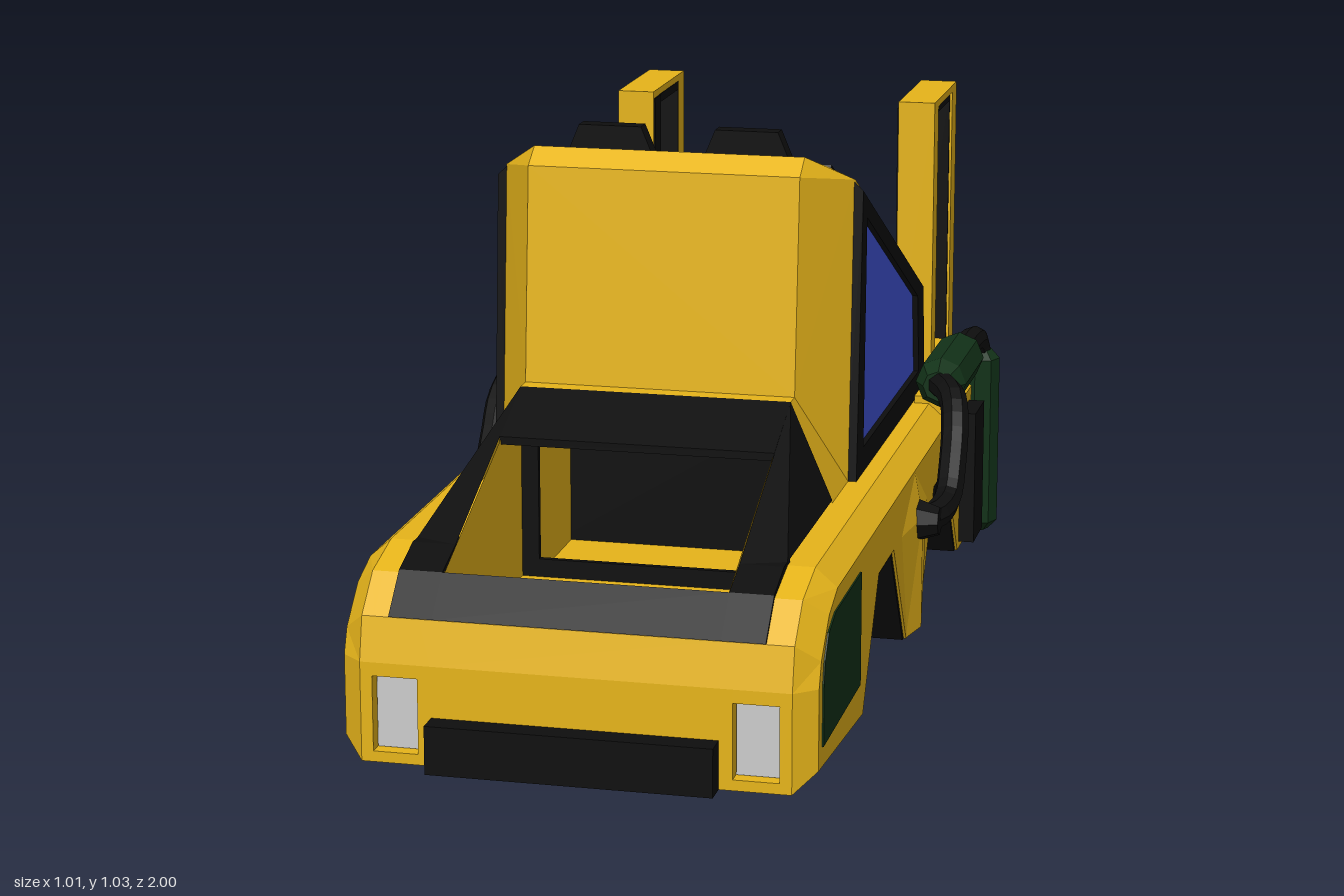
import * as THREE from 'three';

const mat = (color) => new THREE.MeshStandardMaterial({ color, side: THREE.DoubleSide, flatShading: true });

// Extrudes a [z, y] profile from x0 to x1.
function slab(points, x0, x1, hole) {
  const toV = (p) => p.map(([z, y]) => new THREE.Vector2(z, y));
  const shape = new THREE.Shape(toV(points));
  if (hole) shape.holes.push(new THREE.Path(toV(hole)));
  const g = new THREE.ExtrudeGeometry(shape, { depth: x1 - x0, bevelEnabled: false });
  return g.rotateY(-Math.PI / 2).translate(x1, 0, 0);
}

// Box given by its limits on each axis.
function box(x0, x1, y0, y1, z0, z1) {
  return new THREE.BoxGeometry(x1 - x0, y1 - y0, z1 - z0)
    .translate((x0 + x1) / 2, (y0 + y1) / 2, (z0 + z1) / 2);
}

// Flat polygons, each a loop of [x, y, z] corners.
function panels(...polys) {
  const out = [];
  for (const p of polys)
    for (let i = 1; i < p.length - 1; i++) out.push(...p[0], ...p[i], ...p[i + 1]);
  return new THREE.BufferGeometry().setAttribute('position', new THREE.Float32BufferAttribute(out, 3));
}

// Moves every vertex by a rule acting on a Vector3.
function reshape(g, rule) {
  const p = g.attributes.position, v = new THREE.Vector3();
  for (let i = 0; i < p.count; i++) {
    rule(v.fromBufferAttribute(p, i));
    p.setXYZ(i, v.x, v.y, v.z);
  }
  return g;
}

function mirrored(g) {
  const m = g.clone().scale(-1, 1, 1), p = m.attributes.position;
  const a = new THREE.Vector3(), b = new THREE.Vector3();
  for (let i = 0; i < p.count; i += 3) {
    a.fromBufferAttribute(p, i + 1);
    b.fromBufferAttribute(p, i + 2);
    p.setXYZ(i + 1, b.x, b.y, b.z);
    p.setXYZ(i + 2, a.x, a.y, a.z);
  }
  return m;
}

export function createModel() {
  const model = new THREE.Group();
  model.name = 'vehicle';
  const yellow = mat(0xe6b41a), black = mat(0x0e0e0e), green = mat(0x123218);
  const blue = mat(0x4257dc), grey = mat(0xc2c2c2);

  function add(name, g, m) {
    const flat = g.index ? g.toNonIndexed() : g;
    flat.computeVertexNormals();
    const mesh = new THREE.Mesh(flat, m);
    mesh.name = name;
    model.add(mesh);
    return mesh;
  }
  function pair(name, g, m) {
    const flat = g.index ? g.toNonIndexed() : g;
    add(name + 'Left', flat, m);
    add(name + 'Right', mirrored(flat), m);
  }

  // Body: centre with front bay and rear recess, then side slabs with wheel arches
  const nose = [[0.955, 0.2], [0.937, 0.28], [0.87, 0.343]];
  add('bodyCentre', slab([[0.955, 0.015], ...nose, [0.87, 0.19], [0.1, 0.19],
    [0.1, 0.37], [-0.72, 0.37], [-0.72, 0.31], [-0.5, 0.31], [-0.5, 0.04], [-0.72, 0.04], [-0.72, 0.015]], -0.26, 0.26), yellow);
  const top = [...nose, [0.76, 0.37], [-0.72, 0.37]];
  const arches = [[-0.565, -0.41, -0.255, -0.105], [0.05, 0.2, 0.355, 0.505]];
  const notches = arches.flatMap(([a, b, c, d]) => [[a, 0.015], [b, 0.24], [c, 0.24], [d, 0.015]]);
  const lampRecess = [[0.955, 0.035], [0.925, 0.035], [0.925, 0.175], [0.955, 0.175]];
  const outline = [[0.955, 0.015], ...top, [-0.72, 0.015]];
  pair('bodyInnerSide', slab(outline, 0.26, 0.285), yellow);
  pair('bodyLampSide', slab([[0.955, 0.015], ...lampRecess, ...top, [-0.72, 0.015], ...notches], 0.285, 0.368), yellow);
  pair('bodySide', slab([...outline, ...notches], 0.368, 0.39), yellow);
  pair('bodyChamfer', reshape(slab([...outline, ...notches], 0.39, 0.43), (v) => {
    if (v.x < 0.42) return;
    if (v.z > 0.8) v.z -= 0.035;
    if (v.y > 0.25) v.y -= 0.035;
    else if (v.y < 0.05 && v.z > 0.8) v.y += 0.035;
  }), yellow);
  for (const [a, b, c, d] of arches) {
    pair('archLining', slab([[a, 0.016], [b, 0.24], [c, 0.24], [d, 0.016], [d - 0.012, 0.016],
      [c - 0.006, 0.23], [b + 0.006, 0.23], [a + 0.012, 0.016]], 0.285, 0.425), black);
    pair('archWall', slab([[a, 0.016], [b, 0.24], [c, 0.24], [d, 0.016]], 0.28, 0.296), black);
  }
  // Ridge between the arches, at the exhaust outlet
  const ridge = (x, z0, z1) => [[x, 0.016, z0], [x, 0.24, z1]];
  const [a0, a1] = ridge(0.429, 0.05, 0.12), [b0, b1] = ridge(0.446, -0.03, -0.03), [d0, d1] = ridge(0.429, -0.105, -0.18);
  const ridgeTop = [0.429, 0.335, -0.03];
  pair('sideRidge', panels([a0, b0, b1, a1], [b0, d0, d1, b1], [a1, b1, ridgeTop], [b1, d1, ridgeTop], [a0, d0, b0]), yellow);

  // Rear recess lining
  add('rearRecessWall', box(-0.26, 0.26, 0.04, 0.31, -0.51, -0.499), black);
  add('rearRecessRoof', box(-0.26, 0.26, 0.302, 0.311, -0.718, -0.5), black);
  add('rearRecessFloor', box(-0.26, 0.26, 0.039, 0.046, -0.718, -0.5), black);
  pair('rearRecessSide', box(0.252, 0.261, 0.04, 0.31, -0.718, -0.5), black);

  // Front bay surround
  const railIn = [0.26, 0.56, 0.355], railOut = [0.34, 0.376, 0.355];
  const tipIn = [0.26, 0.376, 0.79], tipOut = [0.34, 0.376, 0.76];
  pair('bayRail', panels([railIn, tipOut, railOut], [railIn, tipIn, tipOut]), black);
  pair('bayRailFront', slab([[0.942, 0.282], [0.873, 0.349], [0.79, 0.376], [0.74, 0.376], [0.74, 0.36], [0.87, 0.335],
    [0.93, 0.28]], 0.26, 0.34), black);
  const bayWall = [[0.87, 0.345], [0.79, 0.372], [0.36, 0.552], [0.36, 0.19], [0.87, 0.19]];
  pair('bayWall', panels(bayWall.map(([z, y]) => [0.258, y, z])), yellow);
  add('bayFrontEdge', slab([[0.942, 0.282], [0.873, 0.349], [0.87, 0.33], [0.93, 0.28]], -0.26, 0.26), black);
  add('bayCover', slab([[0.5, 0.5], [0.355, 0.56], [0.355, 0.545], [0.5, 0.485]], -0.26, 0.26), black);
  pair('bayBackPost', box(0.225, 0.258, 0.19, 0.55, 0.35, 0.362), black);
  add('bayBackTop', box(-0.25, 0.25, 0.46, 0.55, 0.35, 0.362), black);
  add('bayBackSill', box(-0.25, 0.25, 0.19, 0.225, 0.35, 0.362), black);
  pair('bayRecessSide', box(0.23, 0.255, 0.19, 0.46, 0.1, 0.35), yellow);
  add('bayRecessEnd', box(-0.255, 0.255, 0.19, 0.5, 0.1, 0.11), black);

  // Cab shell: chamfered side panels and full-width panels
  const f0 = [0.26, 0.56, 0.32], f1 = [0.26, 0.97, 0.285], r0 = [0.26, 1, 0.24], r1 = [0.26, 0.935, 0];
  const r2 = [0.26, 0.68, -0.525], s0 = [0.34, 0.37, 0.2], s1 = [0.34, 0.945, 0.155];
  const s2 = [0.34, 0.61, -0.53], s3 = [0.34, 0.37, -0.565], c0 = [0.34, 0.37, 0.355], c1 = [0.26, 0.56, 0.355];
  pair('cabSide', panels([s0, s3, s2, s1], [f0, s0, s1, f1], [f1, s1, r0], [r0, s1, r1], [r1, s1, s2, r2],
    [c0, s0, f0, c1]), yellow);
  const flip = ([x, y, z]) => [-x, y, z];
  const strip = (a, b) => [a, b, flip(b), flip(a)];
  add('cabShell', panels(strip(c1, f0), strip(f0, f1), strip(f1, r0), strip(r0, r1), strip(r1, r2),
    [r2, s2, s3, flip(s3), flip(s2), flip(r2)]), yellow);

  // Windows
  const glass = [[0.115, 0.865], [0.13, 0.42], [-0.485, 0.42], [-0.46, 0.585]];
  pair('sideWindowFrame', reshape(slab([[0.158, 0.945], [0.2, 0.37], [-0.56, 0.37], [-0.528, 0.61]], 0.335, 0.356, glass), (v) => {
    if (v.x > 0.35 && (v.y > 0.9 || v.y > 0.6 && v.z < -0.5)) v.y -= 0.02;
  }), black);
  pair('sideWindow', slab(glass, 0.335, 0.345), blue);
  for (const [name, w, h, l, m] of [['rearWindowFrame', 0.53, 0.01, 0.59, black], ['rearWindow', 0.45, 0.016, 0.52, blue]]) {
    const pane = add(name, new THREE.BoxGeometry(w, h, l), m);
    pane.position.set(0, 0.809, -0.256);
    pane.rotation.x = -0.452;
  }

  // Roof lamps and rear lamps
  pair('roofLamp', reshape(box(0.047, 0.218, 0.97, 1.03, 0.13, 0.165), (v) => {
    if (v.y > 1) v.x += v.x < 0.13 ? 0.025 : -0.025;
  }), black);
  pair('roofLampLens', box(0.085, 0.185, 0.985, 1.018, 0.126, 0.132), grey);
  const rearLamp = (y0, y1, out) => [[-0.619 + 0.146 * y0 - out, y0], [-0.619 + 0.146 * y1 - out, y1], [-0.52, y1], [-0.52, y0]];
  pair('rearLampFrame', slab(rearLamp(0.47, 0.59, 0.005), 0.01, 0.235), black);
  pair('rearLamp', slab(rearLamp(0.48, 0.58, 0.008), 0.02, 0.225), grey);

  // Nose and side fittings
  add('bumper', box(-0.26, 0.26, 0.015, 0.105, 0.94, 1), black);
  pair('headlight', box(0.286, 0.367, 0.036, 0.174, 0.915, 0.93), grey);
  pair('fenderPanel', slab([[0.545, 0.085], [0.545, 0.3], [0.79, 0.3], [0.85, 0.28], [0.88, 0.24], [0.89, 0.2],
    [0.89, 0.085]], 0.41, 0.433), green);
  pair('sideVent', box(0.4, 0.462, 0.03, 0.31, -0.695, -0.58), black);
  pair('mufflerBracket', box(0.36, 0.44, 0.33, 0.385, -0.57, -0.415), yellow);

  // Rear posts: tapered base and an open upright frame with dark lining
  const outerX = (z) => 0.4 + (z + 0.72) * 0.214;
  pair('postBase', reshape(box(0.265, 0.4, 0.015, 0.38, -1, -0.72), (v) => {
    if (v.x > 0.3) v.x = outerX(v.z);
  }), yellow);
  const corner = (z, y) => [outerX(z) + 0.004, y, z];
  pair('postPanel', panels([corner(-0.855, 0.04), corner(-0.97, 0.04), corner(-0.97, 0.34), corner(-0.855, 0.34)]), green);
  pair('postFrame', slab([[-1, 0.37], [-0.72, 0.37], [-0.72, 0.94], [-1, 0.94]], 0.265, 0.342,
    [[-0.945, 0.381], [-0.77, 0.381], [-0.77, 0.925], [-0.945, 0.925]]), yellow);
  pair('postLiningFront', box(0.262, 0.337, 0.02, 0.925, -0.775, -0.724), black);
  pair('postLiningRear', box(0.264, 0.337, 0.381, 0.925, -0.947, -0.94), black);
  pair('postLiningTop', box(0.264, 0.337, 0.908, 0.926, -0.945, -0.77), black);

  // Exhaust: inlet pipe, muffler, elbow and upright tank
  const tube = (pts, r) => new THREE.TubeGeometry(
    new THREE.CatmullRomCurve3(pts.map((p) => new THREE.Vector3(...p))), 16, r, 8);
  const can = (r, len, cap) => new THREE.LatheGeometry([[0, 0], [r * 0.6, 0], [r, cap], [r, len - cap],
    [r * 0.6, len], [0, len]].map(([x, y]) => new THREE.Vector2(x, y)), 8);
  pair('exhaustFlange', new THREE.CylinderGeometry(0.028, 0.045, 0.05, 8).rotateZ(-Math.PI / 2)
    .translate(0.455, 0.235, -0.03), black);
  pair('exhaustInlet', tube([[0.445, 0.235, -0.025], [0.468, 0.237, -0.08], [0.476, 0.252, -0.15], [0.476, 0.31, -0.2],
    [0.473, 0.375, -0.24], [0.458, 0.418, -0.295], [0.42, 0.428, -0.365]], 0.028), black);
  pair('muffler', can(0.052, 0.3, 0.035).rotateX(-Math.PI / 2).translate(0.42, 0.425, -0.345), green);
  pair('exhaustElbow', tube([[0.42, 0.425, -0.63], [0.425, 0.432, -0.71], [0.43, 0.425, -0.77], [0.432, 0.39, -0.798],
    [0.432, 0.34, -0.8]], 0.027), black);
  pair('exhaustTank', can(0.046, 0.4, 0.02).translate(0.432, 0, -0.798), green);

  return model;
}
